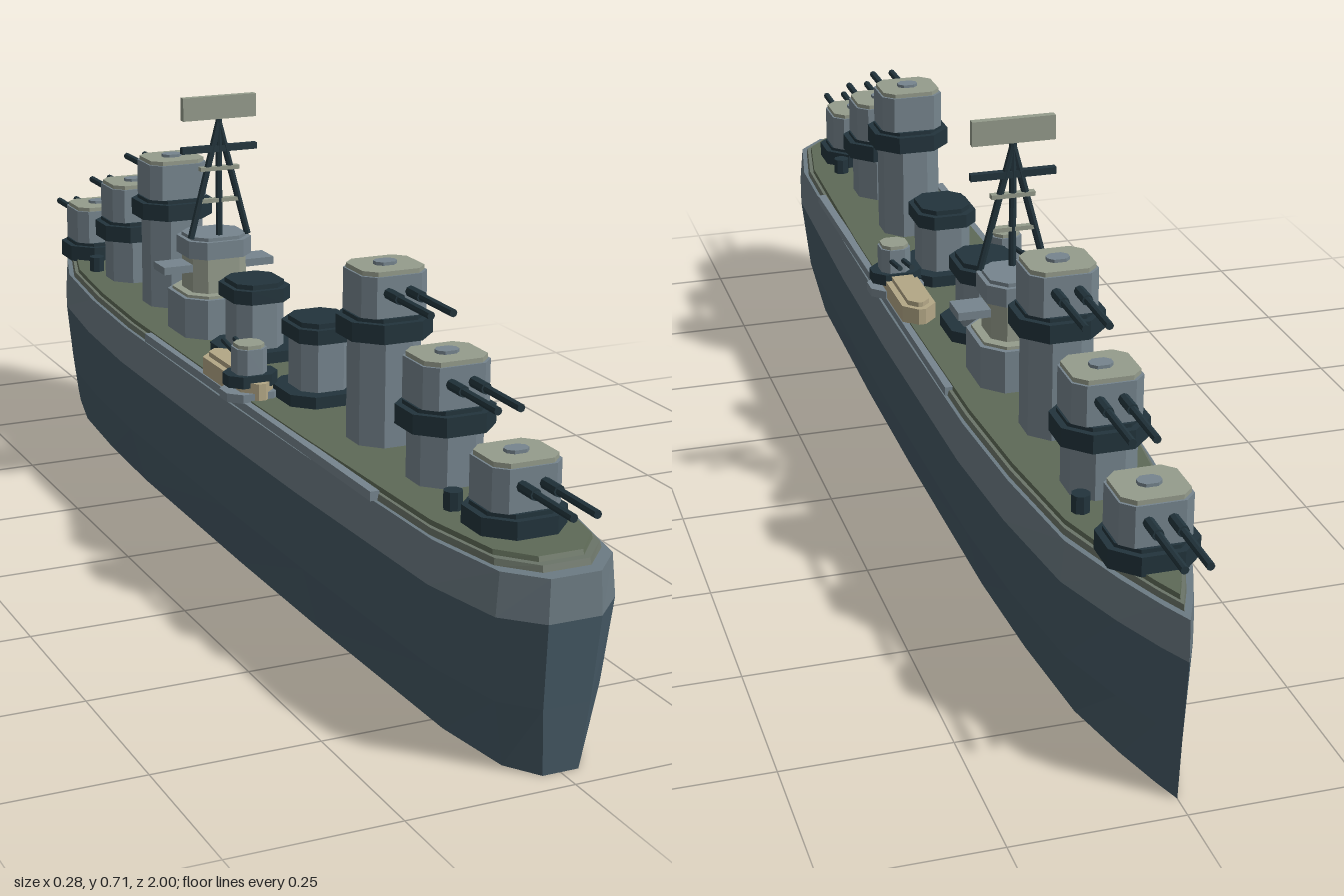
import * as THREE from 'three';

const mat = (name, color) => new THREE.MeshStandardMaterial({ name, color, flatShading: true });
const M = {
  hull: mat('dark hull slate', 0x465a66),
  band: mat('upper hull grey', 0x6c7b83),
  steel: mat('superstructure grey', 0x76858e),
  dark: mat('dark steel', 0x22343c),
  deck: mat('olive deck', 0x5e6a57),
  rim: mat('deck edge green grey', 0x6b7468),
  roof: mat('pale roof', 0x959c8c),
  tan: mat('tan wood', 0xb3a786),
};

// Half outline of the hull at its widest, stern (+z) to bow (-z)
const HALF = [[0.04, 0.985], [0.09, 0.935], [0.118, 0.8], [0.13, 0.4], [0.133, 0.1], [0.13, -0.35],
  [0.118, -0.55], [0.095, -0.74], [0.055, -0.86], [0.022, -0.94]];
const OUTLINE = [...HALF, [0, -0.985], ...HALF.map(([x, z]) => [-x, z]).reverse()];

// Skin through scaled copies of the outline; levels are [y, scaleX, scaleZ]
function loft(levels, capTop, capBottom) {
  const pos = [], n = OUTLINE.length;
  const pt = ([y, sx, sz], i) => [OUTLINE[i % n][0] * sx, y, OUTLINE[i % n][1] * sz];
  const tri = (...p) => p.forEach((q) => pos.push(...q));
  for (let i = 0; i < n; i++) {
    for (let k = 0; k + 1 < levels.length; k++) {
      const [a, b] = [levels[k], levels[k + 1]];
      tri(pt(a, i), pt(a, i + 1), pt(b, i + 1));
      tri(pt(a, i), pt(b, i + 1), pt(b, i));
    }
    const lo = levels[0], hi = levels[levels.length - 1];
    if (capTop) tri([0, hi[0], 0], pt(hi, i), pt(hi, i + 1));
    if (capBottom) tri([0, lo[0], 0], pt(lo, i + 1), pt(lo, i));
  }
  const g = new THREE.BufferGeometry();
  g.setAttribute('position', new THREE.Float32BufferAttribute(pos, 3));
  g.computeVertexNormals();
  return g;
}

// Upright block with chamfered corners, standing on its base
function slabGeo(w, d, h, c) {
  const x = w / 2, z = d / 2;
  const s = new THREE.Shape([[x - c, -z], [x, -z + c], [x, z - c], [x - c, z], [-x + c, z], [-x, z - c],
    [-x, -z + c], [-x + c, -z]].map(([a, b]) => new THREE.Vector2(a, b)));
  return new THREE.ExtrudeGeometry(s, { depth: h, bevelEnabled: false }).rotateX(-Math.PI / 2);
}

function add(parent, name, geo, material, x = 0, y = 0, z = 0) {
  const m = new THREE.Mesh(geo, material);
  m.name = name;
  m.position.set(x, y, z);
  parent.add(m);
  return m;
}
const slab = (p, name, w, d, y0, y1, c, material, x = 0, z = 0) =>
  add(p, name, slabGeo(w, d, y1 - y0, c), material, x, y0, z);
const box = (p, name, w, h, d, material, x, y, z) =>
  add(p, name, new THREE.BoxGeometry(w, h, d), material, x, y, z);

// Round bar between two points
function bar(p, name, a, b, r, material) {
  const A = new THREE.Vector3(...a), B = new THREE.Vector3(...b);
  const m = add(p, name, new THREE.CylinderGeometry(r, r, A.distanceTo(B), 8), material);
  m.position.copy(A).lerp(B, 0.5);
  m.quaternion.setFromUnitVectors(new THREE.Vector3(0, 1, 0), B.sub(A).normalize());
  return m;
}

function group(parent, name, x = 0, y = 0, z = 0) {
  const g = new THREE.Group();
  g.name = name;
  g.position.set(x, y, z);
  parent.add(g);
  return g;
}

// Twin gun turret on its column, guns towards +z; y is the floor of the gun house
function turret(parent, z, y, turn) {
  const t = group(parent, 'mainTurret', 0, 0, z);
  t.rotation.y = turn;
  slab(t, 'column', 0.1, 0.1, 0.295, y - 0.03, 0.028, M.steel);
  slab(t, 'columnCollar', 0.132, 0.126, y - 0.035, y - 0.006, 0.035, M.dark);
  slab(t, 'turretSeat', 0.112, 0.106, y - 0.006, y, 0.028, M.dark);
  slab(t, 'gunHouse', 0.106, 0.096, y, y + 0.062, 0.017, M.steel);
  slab(t, 'houseRoof', 0.1, 0.09, y + 0.062, y + 0.069, 0.017, M.roof);
  slab(t, 'roofHatch', 0.034, 0.026, y + 0.069, y + 0.074, 0.008, M.steel);
  for (const x of [-0.0175, 0.0175]) {
    const g = y + 0.037;
    bar(t, 'gunSleeve', [x, g, 0.04], [x, g, 0.085], 0.0085, M.dark);
    bar(t, 'gunBarrel', [x, g, 0.08], [x, g, 0.18], 0.006, M.dark);
  }
}

function funnel(parent, z) {
  const f = group(parent, 'funnel', 0, 0, z);
  slab(f, 'funnelBase', 0.13, 0.13, 0.295, 0.322, 0.03, M.dark);
  slab(f, 'funnelBody', 0.084, 0.088, 0.322, 0.402, 0.02, M.steel);
  slab(f, 'funnelCap', 0.1, 0.11, 0.402, 0.425, 0.022, M.dark);
  slab(f, 'funnelLip', 0.084, 0.092, 0.425, 0.433, 0.02, M.dark);
}

// Boat deck and light gun on one side
function sideBattery(parent, s) {
  const b = group(parent, s > 0 ? 'leftBattery' : 'rightBattery', s * 0.092, 0, 0);
  slab(b, 'boatHull', 0.056, 0.2, 0.302, 0.33, 0.022, M.tan, 0, 0.09);
  slab(b, 'boatCover', 0.036, 0.14, 0.33, 0.338, 0.014, M.tan, 0, 0.07);
  slab(b, 'gunSponson', 0.092, 0.07, 0.3, 0.314, 0.02, M.steel, s * 0.004, 0.15);
  slab(b, 'gunPedestal', 0.084, 0.06, 0.322, 0.341, 0.018, M.dark, s * 0.004, 0.15);
  slab(b, 'gunShield', 0.05, 0.05, 0.341, 0.382, 0.012, M.steel, s * 0.006, 0.15);
  slab(b, 'shieldRoof', 0.044, 0.044, 0.382, 0.388, 0.011, M.roof, s * 0.006, 0.15);
  for (const x of [-0.01, 0.01])
    bar(b, 'lightGunBarrel', [x + s * 0.006, 0.362, 0.13], [x + s * 0.006, 0.372, 0.07], 0.0045, M.dark);
}

function bridge(parent) {
  const b = group(parent, 'bridge', 0, 0, -0.23);
  slab(b, 'lowerTier', 0.14, 0.14, 0.295, 0.372, 0.03, M.steel);
  slab(b, 'tierDeck', 0.126, 0.126, 0.372, 0.377, 0.028, M.roof);
  slab(b, 'middleTier', 0.098, 0.09, 0.377, 0.445, 0.02, M.roof);
  box(b, 'bridgeWings', 0.202, 0.013, 0.05, M.steel, 0, 0.419, 0);
  slab(b, 'wheelhouse', 0.114, 0.106, 0.438, 0.468, 0.024, M.steel);
  slab(b, 'wheelhouseRoof', 0.1, 0.092, 0.468, 0.474, 0.022, M.steel);
}

function mast(parent) {
  const m = group(parent, 'mast', 0, 0, -0.205);
  bar(m, 'mainPole', [0, 0.47, 0], [0, 0.68, 0], 0.006, M.dark);
  for (const s of [-1, 1]) bar(m, 'mastLeg', [s * 0.052, 0.472, 0], [0, 0.668, 0], 0.006, M.dark);
  box(m, 'upperYard', 0.136, 0.011, 0.011, M.dark, 0, 0.624, 0);
  box(m, 'lowerYard', 0.07, 0.007, 0.012, M.roof, 0, 0.59, 0);
  box(m, 'legBrace', 0.07, 0.007, 0.01, M.roof, 0, 0.535, 0);
  box(m, 'radarPanel', 0.132, 0.039, 0.012, M.roof, 0, 0.694, 0);
}

export function createModel() {
  const ship = new THREE.Group();
  ship.name = 'warship';

  // Hull and decks
  add(ship, 'lowerHull', loft([[0, 0.68, 0.976], [0.1, 0.89, 0.986], [0.225, 1, 1]], false, true), M.hull);
  add(ship, 'upperHull', loft([[0.225, 1, 1], [0.287, 0.94, 0.998]], true, false), M.band);
  add(ship, 'deckEdge', loft([[0.286, 0.9, 0.975], [0.296, 0.88, 0.972]], true, false), M.rim);
  add(ship, 'mainDeck', loft([[0.295, 0.84, 0.96], [0.303, 0.83, 0.957]], true, false), M.deck);
  for (const s of [-1, 1]) box(ship, 'sideWalkway', 0.014, 0.014, 0.88, M.steel, s * 0.114, 0.294, 0.19);

  // Three stepped turrets at each end
  [[0.82, 0.335], [0.62, 0.418], [0.425, 0.5]].forEach(([z, y]) => {
    turret(ship, z, y, 0);
    turret(ship, -z, y, Math.PI);
  });

  // Midships
  funnel(ship, 0.2);
  funnel(ship, -0.055);
  bridge(ship);
  mast(ship);
  for (const s of [-1, 1]) {
    sideBattery(ship, s);
    for (const z of [0.74, -0.69])
      add(ship, 'capstan', new THREE.CylinderGeometry(0.014, 0.014, 0.03, 8), M.dark, s * 0.05, 0.315, z);
  }
  return ship;
}
